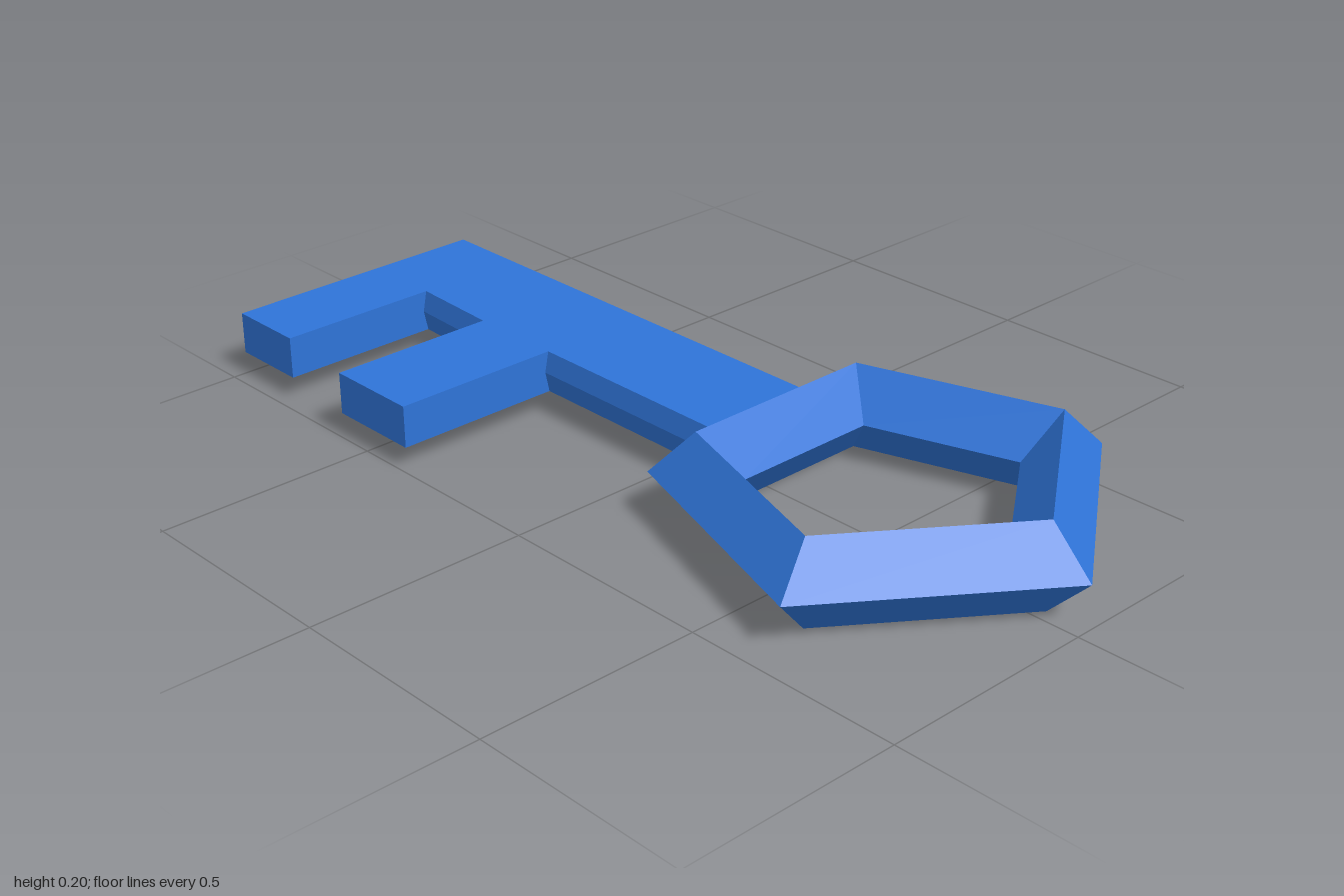
import * as THREE from 'three';

export function createModel() {
  const key = new THREE.Group();
  key.name = 'key';
  const material = new THREE.MeshStandardMaterial({ color: 0x2f74d8, flatShading: true });

  const addPart = (name, geometry) => {
    const mesh = new THREE.Mesh(geometry, material);
    mesh.name = name;
    key.add(mesh);
  };

  // Five-sided handle ring with a diamond cross-section
  const ring = new THREE.TorusGeometry(0.392, 0.098, 4, 5);
  ring.rotateX(-Math.PI / 2).translate(0.51, 0.098, -0.03);
  addPart('handleRing', ring);

  // Shaft and two teeth as one flat outline in x and z
  const outline = [
    [-1, -0.163], [0.15, -0.165], [0.15, 0.1], [-0.375, 0.1],
    [-0.375, 0.49], [-0.598, 0.49], [-0.598, 0.1], [-0.815, 0.091],
    [-0.815, 0.465], [-1, 0.465],
  ].map(([x, z]) => new THREE.Vector2(x, z));
  const height = 0.095;
  const blade = new THREE.ExtrudeGeometry(new THREE.Shape(outline), {
    depth: height, steps: 2, bevelEnabled: false,
  });

  // Push the middle layer of the long sides out into a shallow ridge
  const pos = blade.attributes.position;
  for (let i = 0; i < pos.count; i++) {
    const side = pos.getY(i);
    const isMiddle = Math.abs(pos.getZ(i) - height / 2) < 0.01;
    if (isMiddle && side < 0.2) pos.setY(i, side + Math.sign(side) * 0.01);
  }
  blade.rotateX(Math.PI / 2).translate(0, 0.146, 0);
  blade.computeVertexNormals();
  addPart('shaftAndTeeth', blade);

  return key;
}
